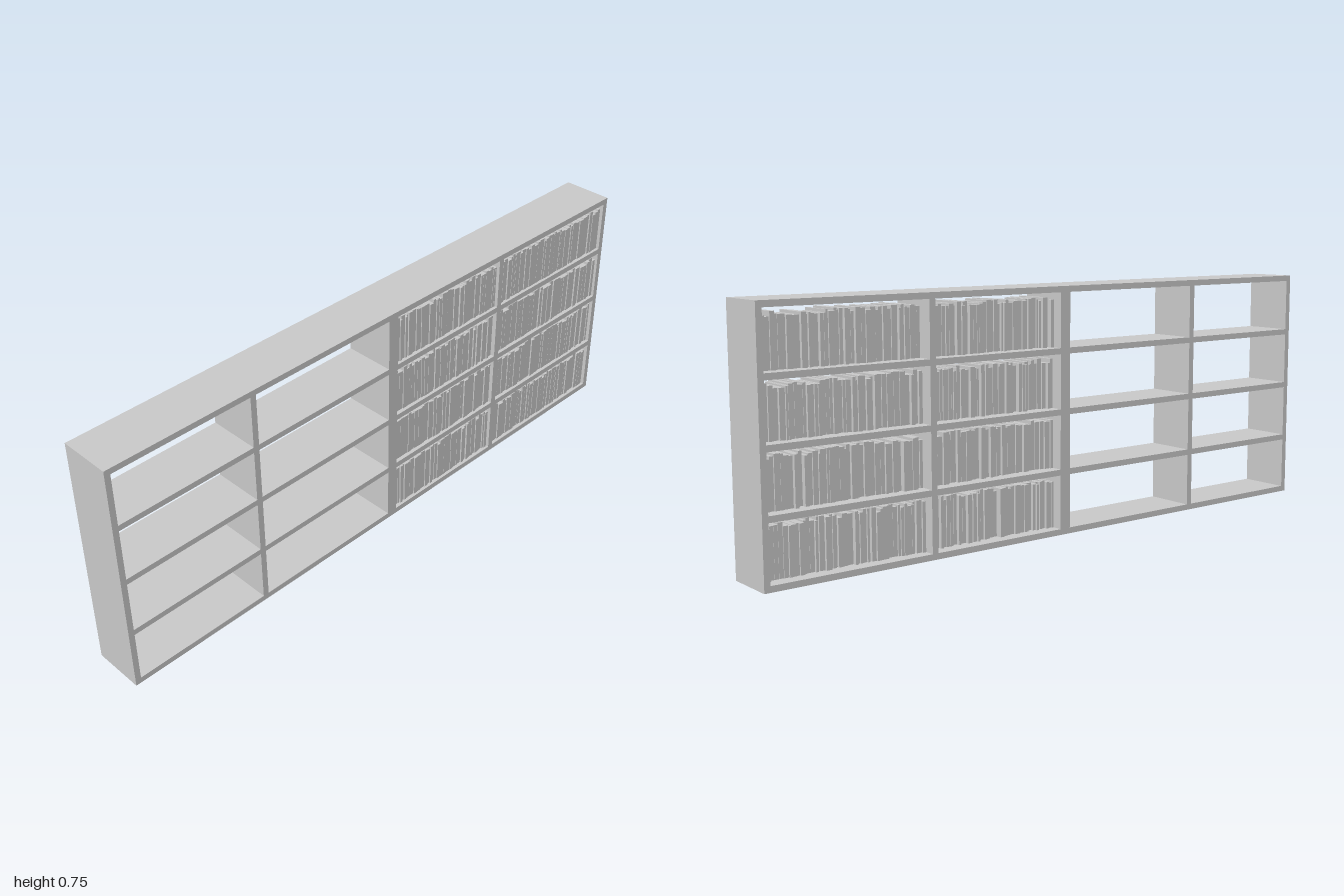
import * as THREE from 'three';
import { mergeGeometries } from 'three/addons/utils/BufferGeometryUtils.js';

const HEIGHT = 0.748, DEPTH = 0.16, BOARD = 0.018;
const ROWS = 4, PITCH = (HEIGHT - BOARD) / ROWS;
const BAYS = [[0.018, 0.463], [0.482, 0.982]]; // x ranges inside a one unit wide case

const material = new THREE.MeshStandardMaterial({ color: 0xcccccc });

function makeRandom(seed) {
  return () => (seed = (seed * 16807) % 2147483647) / 2147483647;
}

function rectangle(path, x0, y0, x1, y1) {
  path.moveTo(x0, y0).lineTo(x1, y0).lineTo(x1, y1).lineTo(x0, y1).closePath();
  return path;
}

// Open case: a slab pierced by one opening per bay and row
function makeCase() {
  const shape = rectangle(new THREE.Shape(), 0, 0, 1, HEIGHT);
  for (let row = 0; row < ROWS; row++) {
    for (const [x0, x1] of BAYS) {
      shape.holes.push(rectangle(new THREE.Path(), x0, row * PITCH + BOARD, x1, (row + 1) * PITCH));
    }
  }
  const geometry = new THREE.ExtrudeGeometry(shape, { depth: DEPTH, bevelEnabled: false });
  geometry.translate(0, 0, -DEPTH / 2);
  return new THREE.Mesh(geometry, material);
}

// A row of books standing side by side between x0 and x1
function makeBooks(x0, x1, floor, random) {
  const books = [];
  let x = x0 + 0.001;
  while (x < x1 - 0.006) {
    const width = Math.min(0.006 + 0.013 * random(), x1 - x - 0.001);
    const height = 0.136 + 0.016 * random();
    const front = 0.066 + 0.006 * random();
    const depth = 0.098 + 0.018 * random();
    const book = new THREE.BoxGeometry(width - 0.0004, height, depth);
    book.translate(x + width / 2, floor + height / 2, front - depth / 2);
    books.push(book);
    x += width;
  }
  return new THREE.Mesh(mergeGeometries(books), material);
}

export function createModel() {
  const model = new THREE.Group();
  model.name = 'bookshelves';

  // Two identical cases side by side
  for (const [name, x] of [['rightCase', -1], ['leftCase', 0]]) {
    const bookcase = makeCase();
    bookcase.name = name;
    bookcase.position.x = x;
    model.add(bookcase);
  }

  // Books fill only the case on the +x side
  const random = makeRandom(1234);
  for (let row = 0; row < ROWS; row++) {
    BAYS.forEach(([x0, x1], bay) => {
      const books = makeBooks(x0, x1, row * PITCH + BOARD, random);
      books.name = `booksRow${row + 1}Bay${bay + 1}`;
      model.add(books);
    });
  }
  return model;
}
